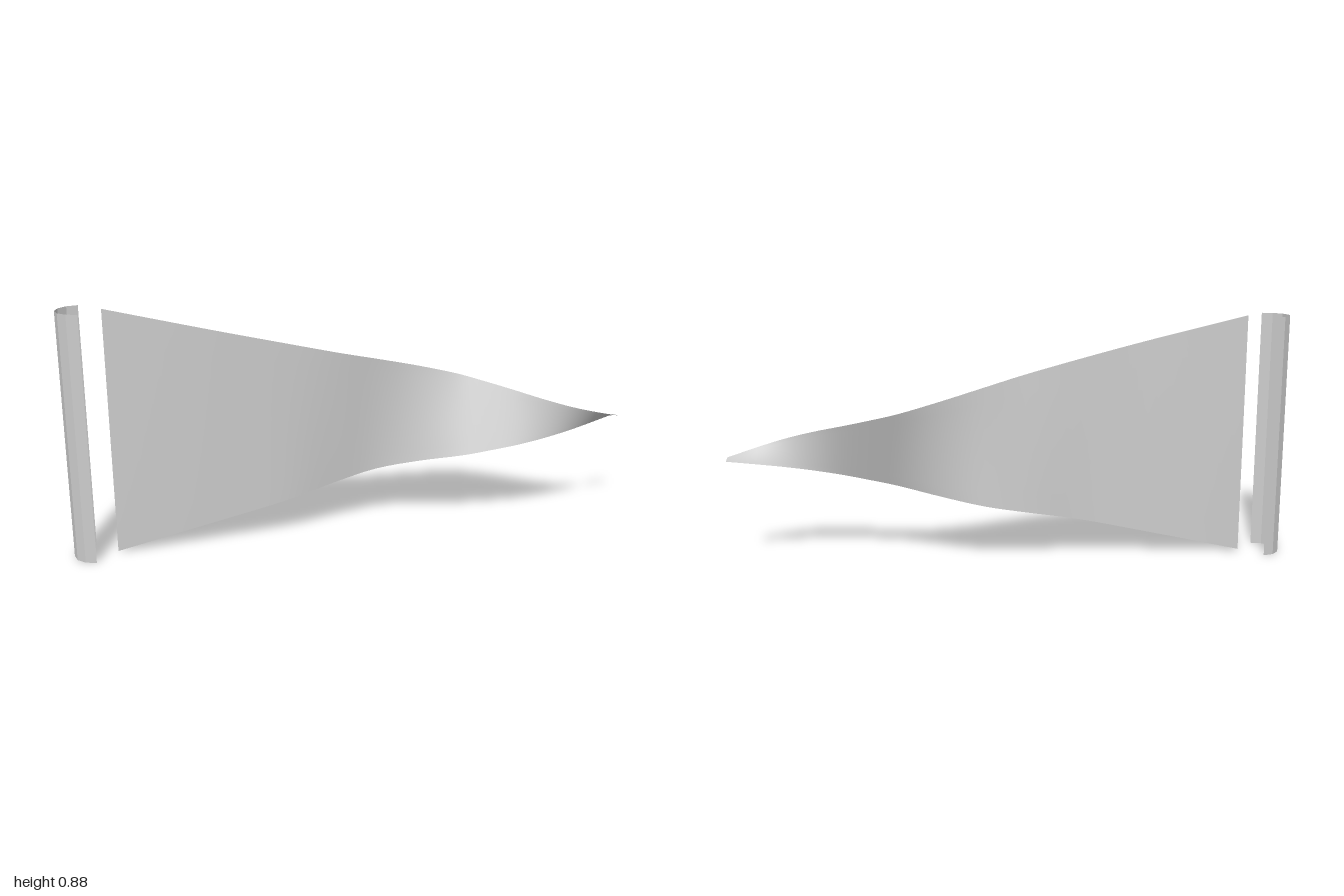
import * as THREE from 'three';

const material = new THREE.MeshStandardMaterial({ color: 0xcccccc, side: THREE.DoubleSide });
const flatMaterial = new THREE.MeshStandardMaterial({ color: 0xcccccc, side: THREE.DoubleSide, flatShading: true });

const HEIGHT = 0.875;
const HOIST_X = -0.85;

// Stations along the cloth and the depth of its two edges there
const stations = [-0.85, -0.5, -0.25, -0.05, 0.1, 0.25, 0.4, 0.5, 0.6, 0.7, 0.8, 0.9, 1];
const topDepth = [-0.005, 0.01, 0.003, -0.012, -0.042, -0.07, -0.077, -0.045, 0, 0.052, 0.08, 0.074, 0.05];
const bottomDepth = [-0.005, -0.004, -0.008, -0.046, -0.062, -0.027, 0.03, 0.051, 0.066, 0.067, 0.056, 0.035, 0.01];

// Edge curve: nearly straight taper in height, rippling in depth
function edgeCurve(hoistY, tipY, bulge, depth) {
  const points = stations.map((x, i) => {
    const t = (x - HOIST_X) / (1 - HOIST_X);
    const y = THREE.MathUtils.lerp(hoistY, tipY, t) + bulge * Math.sin(Math.PI * t);
    return new THREE.Vector3(x, y, depth[i]);
  });
  return new THREE.CatmullRomCurve3(points, false, 'catmullrom', 0.5);
}

// Tapered cloth spanned between the upper and lower edges
function createPennant() {
  const top = edgeCurve(HEIGHT, 0.392, 0.012, topDepth);
  const bottom = edgeCurve(0.003, 0.386, 0.015, bottomDepth);
  const geometry = new THREE.PlaneGeometry(1, 1, 48, 8);
  const position = geometry.attributes.position;
  const uv = geometry.attributes.uv;
  for (let i = 0; i < position.count; i++) {
    const p = bottom.getPoint(uv.getX(i)).lerp(top.getPoint(uv.getX(i)), uv.getY(i));
    position.setXYZ(i, p.x, p.y, p.z);
  }
  geometry.computeVertexNormals();
  const mesh = new THREE.Mesh(geometry, material);
  mesh.name = 'pennantCloth';
  return mesh;
}

// Half-round pole sleeve, open towards the cloth
function createSleeve() {
  const geometry = new THREE.CylinderGeometry(0.075, 0.075, HEIGHT, 6, 1, true, Math.PI, Math.PI);
  const mesh = new THREE.Mesh(geometry, flatMaterial);
  mesh.name = 'poleSleeve';
  mesh.position.set(-0.925, HEIGHT / 2, -0.005);
  return mesh;
}

export function createModel() {
  const group = new THREE.Group();
  group.name = 'pennantFlag';
  group.add(createSleeve(), createPennant());
  return group;
}
